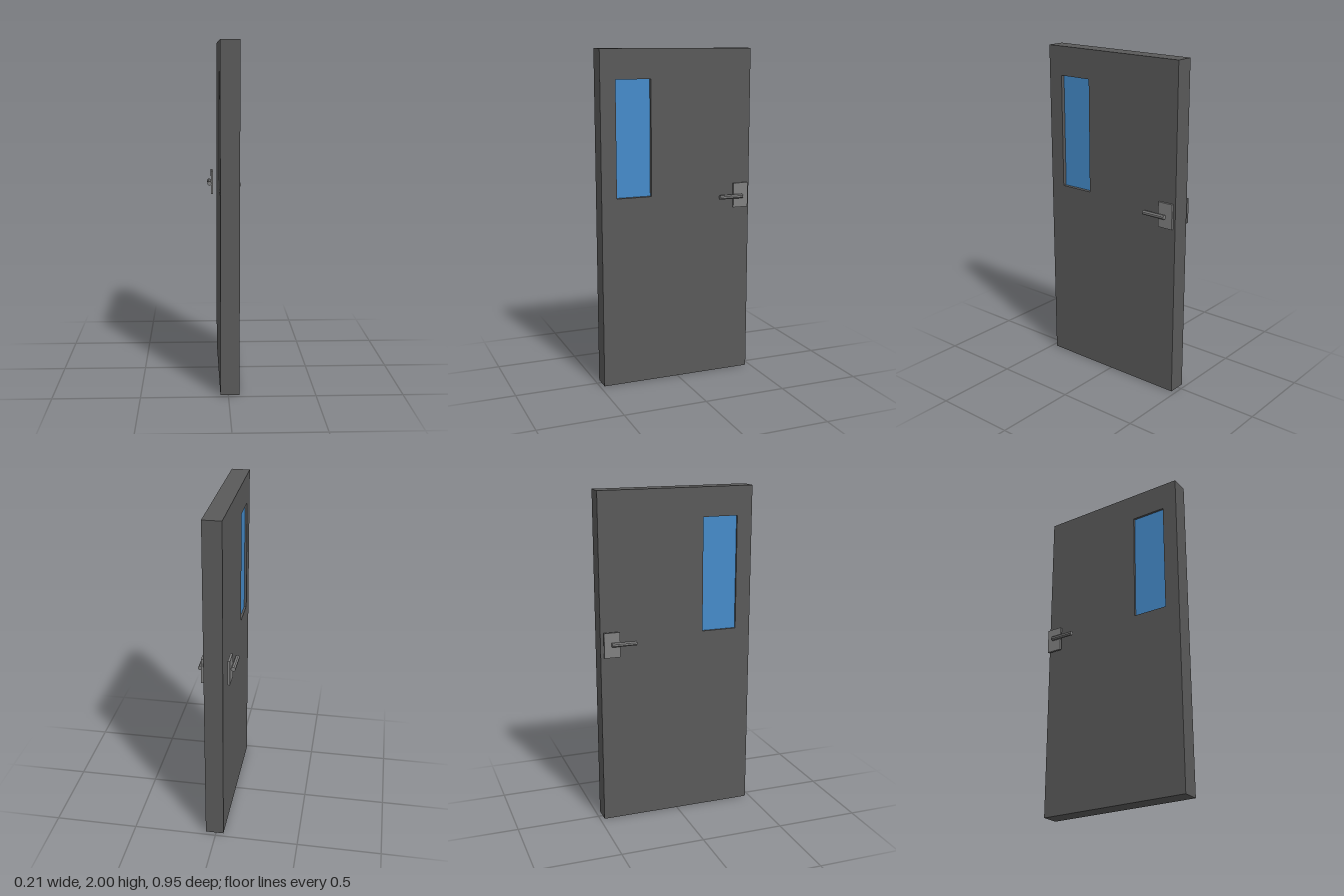
import * as THREE from 'three';

const paint = (color) => new THREE.MeshStandardMaterial({ color, flatShading: true });

function rectangle(path, z0, y0, z1, y1) {
  path.moveTo(z0, y0);
  path.lineTo(z1, y0);
  path.lineTo(z1, y1);
  path.lineTo(z0, y1);
  path.closePath();
  return path;
}

function addMesh(parent, name, geometry, material, x, y, z) {
  const mesh = new THREE.Mesh(geometry, material);
  mesh.name = name;
  mesh.position.set(x, y, z);
  parent.add(mesh);
  return mesh;
}

export function createModel() {
  const model = new THREE.Group();
  model.name = 'door';
  const doorPaint = paint(0x5a5a5a);
  const handlePaint = paint(0x808080);
  const glassPaint = paint(0x458bca);

  // Door slab with a window opening, drawn in z and y and extruded through x
  const back = -0.045, front = 0.064;
  const win = { z0: 0.165, z1: 0.38, y0: 1.14, y1: 1.826 };
  const outline = rectangle(new THREE.Shape(), -0.473, 0, 0.473, 2);
  outline.holes.push(rectangle(new THREE.Path(), win.z0, win.y0, win.z1, win.y1));
  const slab = new THREE.ExtrudeGeometry(outline, { depth: front - back, bevelEnabled: false });
  slab.rotateY(-Math.PI / 2);
  addMesh(model, 'doorSlab', slab, doorPaint, front, 0, 0);

  // Glass, set in from both faces
  const glass = new THREE.BoxGeometry(0.074, win.y1 - win.y0, win.z1 - win.z0);
  addMesh(model, 'windowGlass', glass, glassPaint,
    0.005, (win.y0 + win.y1) / 2, (win.z0 + win.z1) / 2);

  // Handle on each face: a flat plate and an eight-sided lever
  const plate = new THREE.BoxGeometry(0.013, 0.15, 0.096);
  const radius = 0.0125 / Math.cos(Math.PI / 8);
  const lever = new THREE.CylinderGeometry(radius, radius, 0.15, 8);
  lever.rotateY(Math.PI / 8).rotateX(Math.PI / 2);
  const sides = [
    { name: 'leftHandle', plateX: 0.0735, leverX: 0.0925, leverY: 1.11 },
    { name: 'rightHandle', plateX: -0.0765, leverX: -0.0945, leverY: 1.12 },
  ];
  for (const side of sides) {
    const handle = new THREE.Group();
    handle.name = side.name;
    addMesh(handle, 'handlePlate', plate, handlePaint, side.plateX, 1.115, -0.412);
    addMesh(handle, 'handleLever', lever, handlePaint, side.leverX, side.leverY, -0.3425);
    model.add(handle);
  }
  return model;
}
